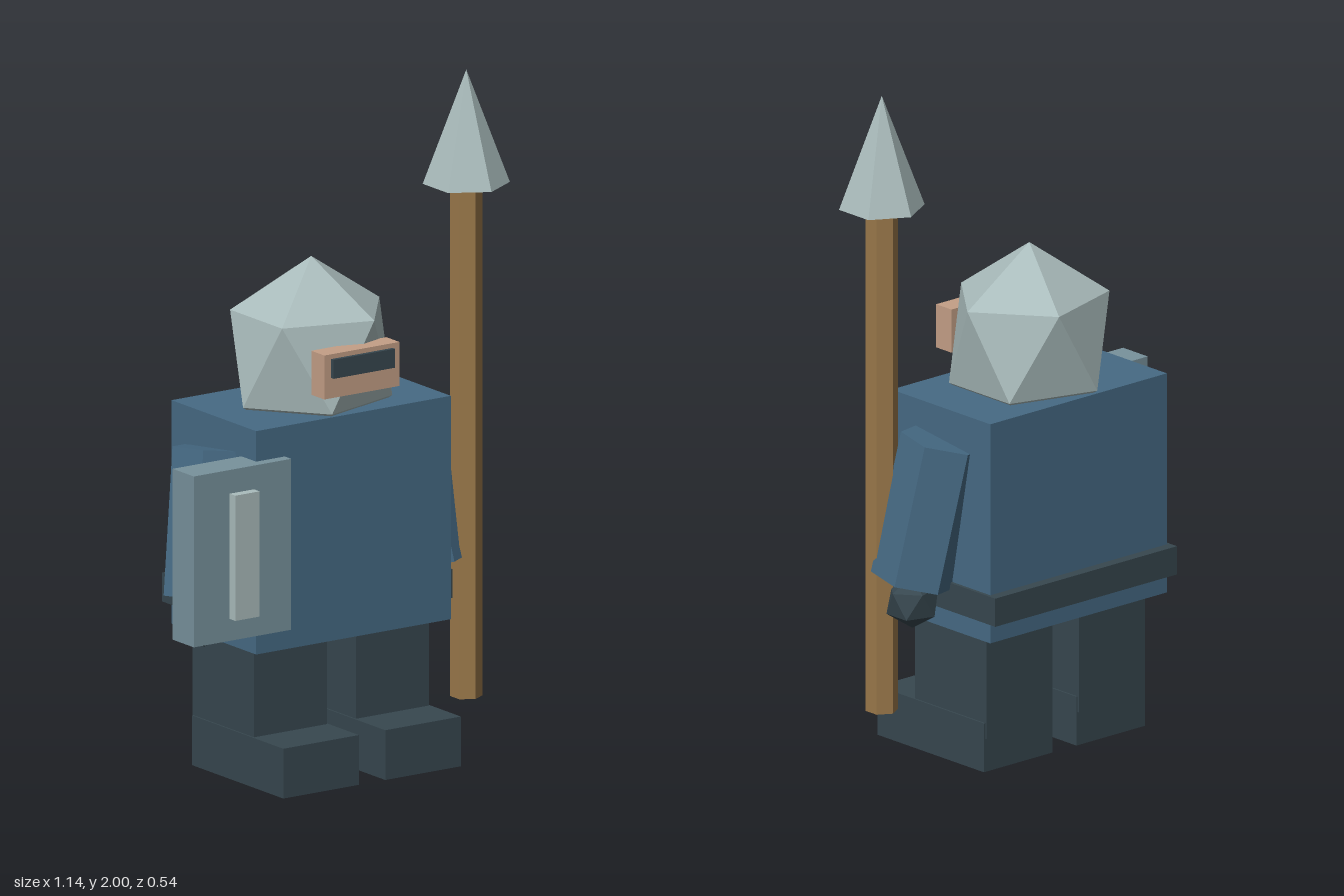
import * as THREE from 'three';

const mat = (name, color) => {
  const m = new THREE.MeshStandardMaterial({ color });
  m.name = name;
  return m;
};

// Gives every face its own normals for a faceted look
const faceted = (geometry) => {
  const g = geometry.index ? geometry.toNonIndexed() : geometry;
  g.computeVertexNormals();
  return g;
};

// Icosahedron standing on a corner, with an upper-ring corner towards +x
const gem = (rx, ry, rz) => faceted(
  new THREE.IcosahedronGeometry(1)
    .rotateX(-Math.atan((1 + Math.sqrt(5)) / 2))
    .rotateY(Math.PI / 2)
    .scale(rx, ry, rz)
);

export function createModel() {
  const model = new THREE.Group();
  model.name = 'guard';

  const blue = mat('blue cloth', 0x466a84);
  const dark = mat('dark slate', 0x37474f);
  const steel = mat('pale steel', 0xaabcbc);
  const shieldGrey = mat('shield grey', 0x78929c);
  const skin = mat('skin', 0xc49f86);
  const wood = mat('wood', 0x9a784a);

  const add = (name, geometry, material, x = 0, y = 0, z = 0) => {
    const mesh = new THREE.Mesh(geometry, material);
    mesh.name = name;
    mesh.position.set(x, y, z);
    model.add(mesh);
    return mesh;
  };

  // Box given by its limits on each axis
  const box = (name, material, [x0, x1], [y0, y1], [z0, z1]) =>
    add(name, new THREE.BoxGeometry(x1 - x0, y1 - y0, z1 - z0), material,
      (x0 + x1) / 2, (y0 + y1) / 2, (z0 + z1) / 2);

  const midX = 0.01; // the body stands slightly off centre

  // Body
  box('torso', blue, [-0.33, 0.35], [0.41, 1.07], [-0.24, 0.18]);
  box('belt', dark, [-0.34, 0.36], [0.47, 0.555], [-0.272, 0.173]);

  // Head
  add('helmet', gem(0.266, 0.285, 0.245), steel, midX, 1.205, -0.03);
  box('face', skin, [-0.12, 0.142], [1.14, 1.27], [0.155, 0.22]);
  box('visorSlit', dark, [-0.096, 0.118], [1.2, 1.256], [0.2, 0.232]);

  // Legs, feet, arms and hands
  for (const side of [1, -1]) {
    const label = side > 0 ? 'left' : 'right';
    const legX = midX + side * 0.178;
    box(label + 'Leg', dark, [legX - 0.127, legX + 0.127], [0.1, 0.43], [-0.186, 0.12]);
    box(label + 'Foot', dark, [legX - 0.132, legX + 0.132], [0, 0.147], [-0.18, 0.272]);

    // Six-sided sleeve, leaning outward and forward on its way down
    const shoulder = new THREE.Vector3(midX + side * 0.332, 0.972, -0.035);
    const wrist = new THREE.Vector3(midX + side * 0.4, 0.553, 0.018);
    const axis = shoulder.clone().sub(wrist);
    const sleeve = faceted(new THREE.CylinderGeometry(
      0.126, 0.126, axis.length(), 6, 1, false, side * 0.89));
    const centre = shoulder.clone().add(wrist).multiplyScalar(0.5);
    add(label + 'Arm', sleeve, blue, centre.x, centre.y, centre.z)
      .quaternion.setFromUnitVectors(new THREE.Vector3(0, 1, 0), axis.normalize());
    add(label + 'Hand', gem(0.085, 0.082, 0.08), dark, midX + side * 0.407, 0.49, 0.017);
  }

  // Shield with a central rib
  box('shield', shieldGrey, [-0.57, -0.23], [0.475, 0.98], [0.107, 0.212]);
  box('shieldRib', steel, [-0.445, -0.36], [0.54, 0.91], [0.2, 0.24]);

  // Spear
  add('spearShaft', faceted(new THREE.CylinderGeometry(0.047, 0.047, 1.52, 6)), wood, 0.46, 0.91, 0.1);
  add('spearHead', faceted(new THREE.ConeGeometry(0.125, 0.335, 6)), steel, 0.46, 1.8325, 0.1);

  return model;
}
